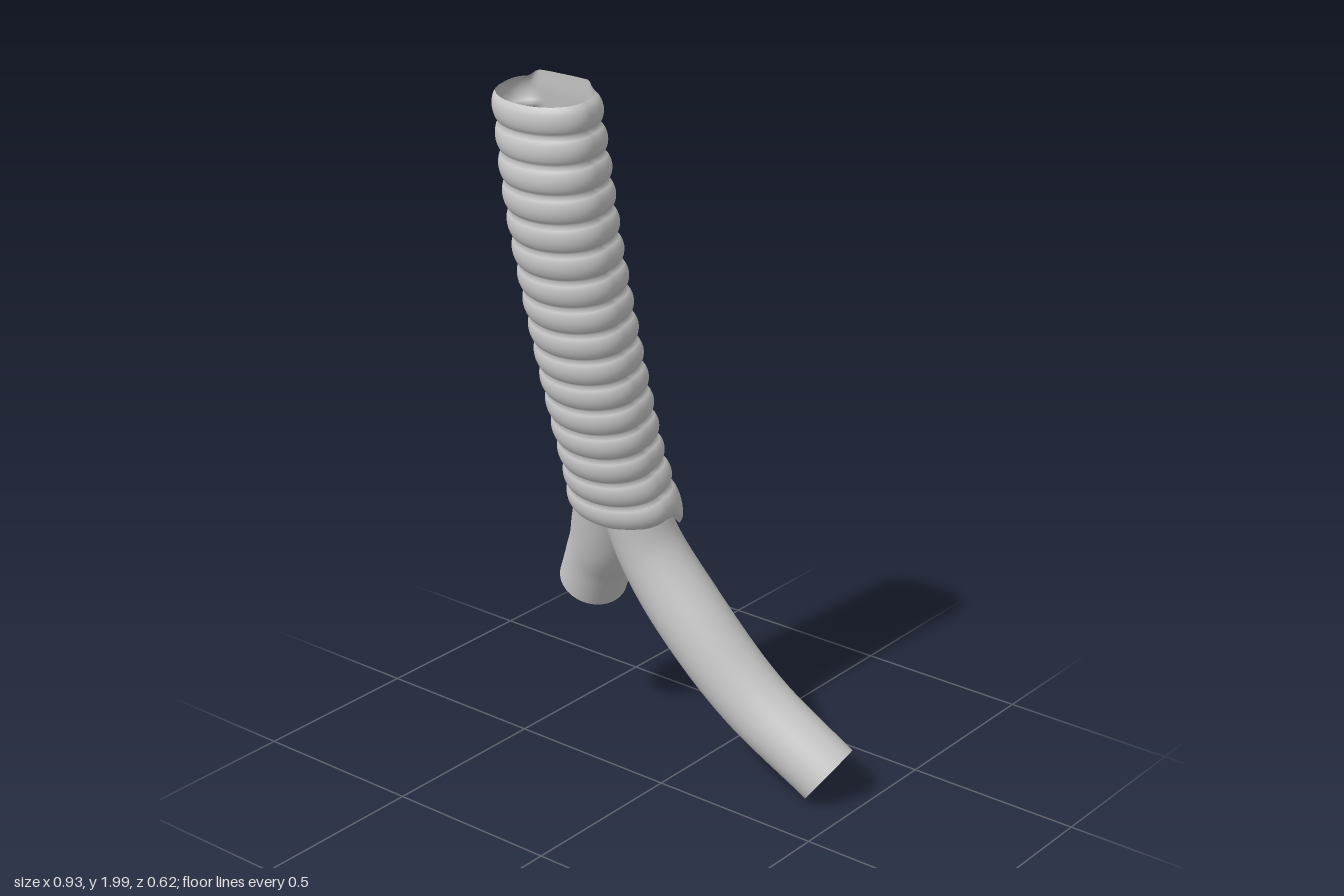
import * as THREE from 'three';

const material = new THREE.MeshStandardMaterial({ color: 0xcccccc, side: THREE.DoubleSide });
const smooth = THREE.MathUtils.smoothstep;
const V = (x, y, z) => new THREE.Vector3(x, y, z);

// Skin of rows x cols points, closed around each row
function loft(rows, cols, point) {
  const pos = [], index = [];
  for (let r = 0; r <= rows; r++) {
    for (let c = 0; c < cols; c++) {
      pos.push(...point(r / rows, (c / cols) * Math.PI * 2).toArray());
      if (r === rows) continue;
      const a = r * cols + c, b = r * cols + (c + 1) % cols;
      index.push(a, a + cols, b, b, a + cols, b + cols);
    }
  }
  const geo = new THREE.BufferGeometry();
  geo.setAttribute('position', new THREE.Float32BufferAttribute(pos, 3));
  geo.setIndex(index);
  geo.computeVertexNormals();
  return geo;
}

// Ringed windpipe: round front, flat smooth membrane at the back
function windpipeGeometry() {
  const axis = new THREE.CatmullRomCurve3([
    V(-0.2, 0.755, -0.08), V(-0.2, 1.0, 0.0), V(-0.2, 1.4, 0.11), V(-0.2, 1.65, 0.168), V(-0.2, 1.965, 0.22),
  ]);
  const ringCount = 16;
  return loft(ringCount * 8, 72, (t, angle) => {
    const centre = axis.getPointAt(t), tangent = axis.getTangentAt(t);
    const forward = V(0, -tangent.z, tangent.y);
    const c = Math.cos(angle), s = -Math.sin(angle);
    const power = s < 0 ? 0.55 : 1;
    const ux = Math.sign(c) * Math.abs(c) ** power;
    const uz = Math.sign(s) * Math.abs(s) ** power;

    // Rings fade out on the membrane
    const membrane = s < 0 ? 1 - smooth(Math.abs(ux), 0.55, 0.8) : 0;
    const ridge = Math.abs(Math.sin(t * ringCount * Math.PI)) ** 0.6;
    const bulge = (ridge * 0.014 - 0.006) * (1 - membrane);
    const flare = 1 - smooth(t, 0.0, 0.14);
    const wide = 0.143 + 0.016 * flare + bulge;
    const deep = (s < 0 ? 0.098 : 0.1) - 0.012 * smooth(t, 0.8, 1) + bulge;

    const p = centre.clone().addScaledVector(forward, uz * deep);
    p.x += ux * wide;
    // Side flaps hang over the branches, the lip rises at the back
    if (s < 0) {
      const corner = smooth(Math.abs(ux), 0.5, 0.85) * smooth(-s, 0.0, 0.35);
      const drop = corner * (ux < 0 ? 0.09 : 0.05) * (1 - smooth(t, 0, 0.06));
      p.addScaledVector(tangent, -drop);
      p.y += membrane * 0.015 * smooth(t, 0.97, 1);
    }
    return p;
  });
}

// Open branch along a curve, radius changing from r0 through r1 to r2
function branchGeometry(points, r0, r1, r2) {
  const curve = new THREE.CatmullRomCurve3(points);
  const geo = new THREE.TubeGeometry(curve, 40, 1, 40, false);
  const pos = geo.attributes.position, uv = geo.attributes.uv;
  const v = V(0, 0, 0);
  for (let i = 0; i < pos.count; i++) {
    const t = uv.getX(i), p = curve.getPointAt(t);
    const r = t < 0.4 ? r0 + (r1 - r0) * smooth(t, 0, 0.4) : r1 + (r2 - r1) * smooth(t, 0.4, 1);
    v.fromBufferAttribute(pos, i).sub(p).multiplyScalar(r).add(p);
    pos.setXYZ(i, v.x, v.y, v.z);
  }
  return geo;
}

export function createModel() {
  const group = new THREE.Group();
  const add = (name, geo) => {
    const mesh = new THREE.Mesh(geo, material);
    mesh.name = name;
    group.add(mesh);
    return mesh;
  };

  add('windpipe', windpipeGeometry());

  add('leftBranch', branchGeometry([
    V(-0.165, 0.82, -0.065), V(-0.12, 0.65, -0.1), V(0.03, 0.43, -0.135), V(0.185, 0.25, -0.175), V(0.405, 0.08, -0.22),
  ], 0.088, 0.1, 0.092));

  add('rightBranch', branchGeometry([
    V(-0.235, 0.82, -0.065), V(-0.285, 0.64, -0.115), V(-0.335, 0.55, -0.148), V(-0.385, 0.455, -0.175),
  ], 0.088, 0.1, 0.096));

  // Small swelling in the fork
  const fork = add('forkSwelling', new THREE.SphereGeometry(1, 24, 16));
  fork.scale.set(0.042, 0.038, 0.075);
  fork.position.set(-0.205, 0.615, -0.14);

  return group;
}
